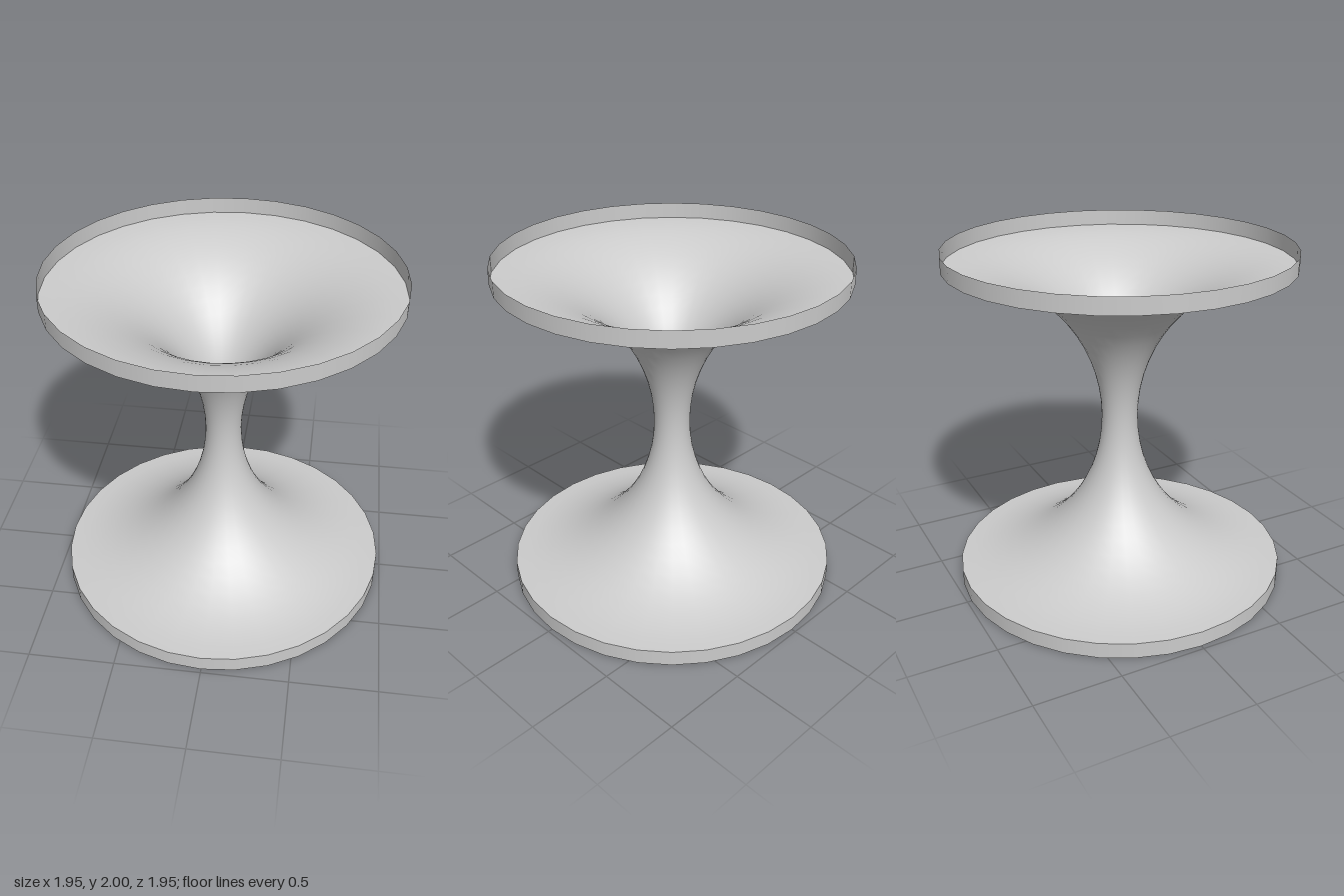
import * as THREE from 'three';

const SIDES = 32;
const RIM_RADIUS = 0.975;
const RIM_HEIGHT = 0.092;
const THROAT_RADIUS = 0.105;

export function createModel() {
  const group = new THREE.Group();
  const material = new THREE.MeshStandardMaterial({ color: 0xcccccc, side: THREE.DoubleSide });

  const add = (name, geometry, y = 0) => {
    const mesh = new THREE.Mesh(geometry, material);
    mesh.name = name;
    mesh.position.y = y;
    group.add(mesh);
  };

  // Open double funnel: a half ellipse, bulging inward, turned about the axis
  const steps = 32;
  const profile = [];
  for (let i = 0; i <= steps; i++) {
    const a = -Math.PI / 2 + (Math.PI * i) / steps;
    profile.push(new THREE.Vector2(
      RIM_RADIUS - (RIM_RADIUS - THROAT_RADIUS) * Math.cos(a),
      1 + (1 - RIM_HEIGHT) * Math.sin(a)
    ));
  }
  add('doubleFunnel', new THREE.LatheGeometry(profile, SIDES));

  // Thin upright bands around both mouths
  const band = new THREE.CylinderGeometry(RIM_RADIUS, RIM_RADIUS, RIM_HEIGHT, SIDES, 1, true);
  add('lowerRim', band, RIM_HEIGHT / 2);
  add('upperRim', band, 2 - RIM_HEIGHT / 2);

  return group;
}
